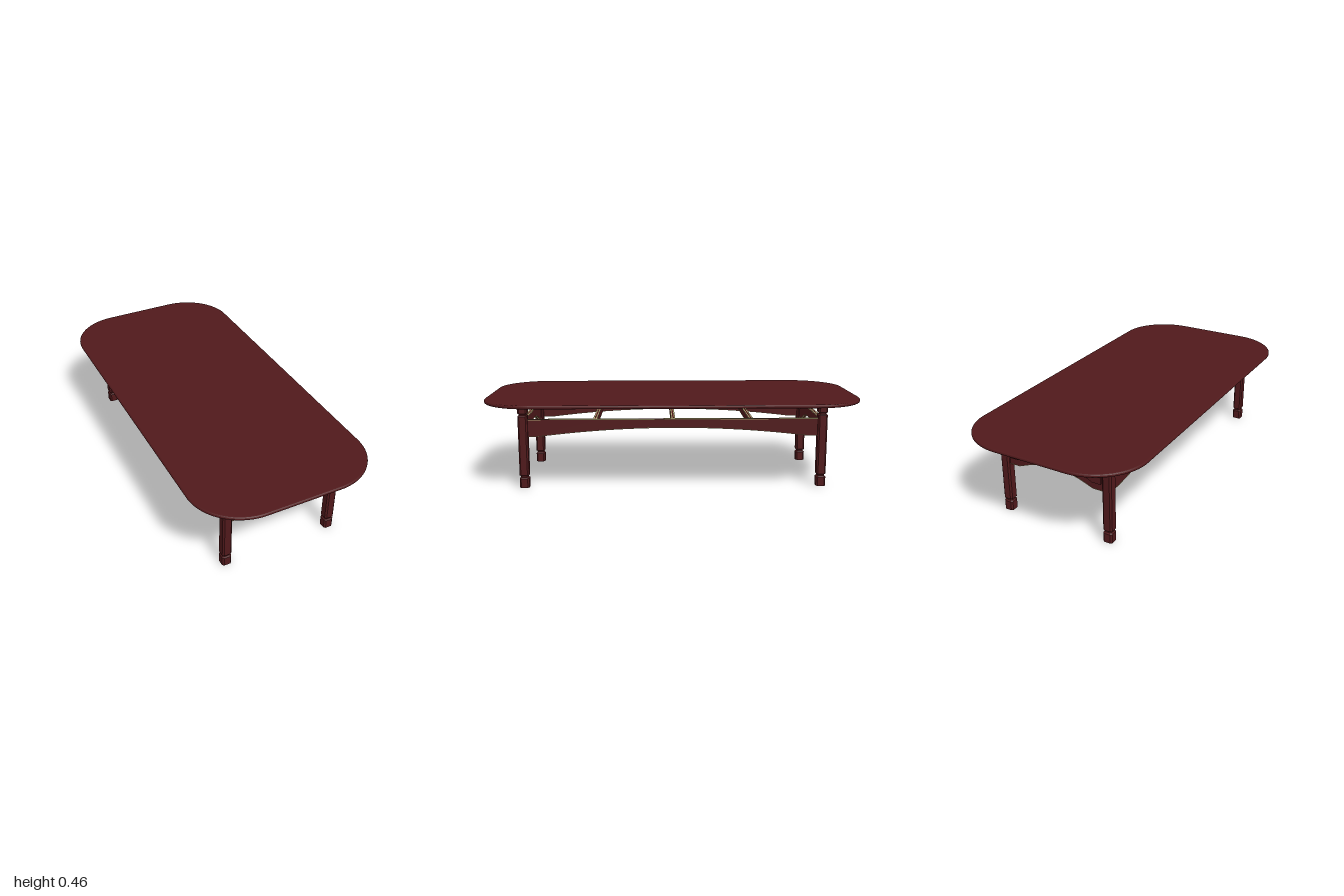
import * as THREE from 'three';

const wood = new THREE.MeshStandardMaterial({ color: 0x50191b });
wood.name = 'mahogany';
const brass = new THREE.MeshStandardMaterial({ color: 0xb0a474 });
brass.name = 'brass inlay';

const LEG_X = 0.297, LEG_Z = 0.787, LEG_HALF = 0.025;
const RAIL_TOP = 0.364, RAIL_THICK = 0.02, INLAY = 0.007;

function add(parent, geometry, material, name) {
  const mesh = new THREE.Mesh(geometry, material);
  mesh.name = name;
  parent.add(mesh);
  return mesh;
}

// Rounded slab with a softened rim
function tableTop() {
  const b = 0.008, w = 0.476 - b, l = 1 - b, rx = 0.27, rz = 0.26;
  const s = new THREE.Shape();
  s.moveTo(w, -l + rz);
  s.lineTo(w, l - rz);
  s.absellipse(w - rx, l - rz, rx, rz, 0, Math.PI / 2);
  s.absellipse(-w + rx, l - rz, rx, rz, Math.PI / 2, Math.PI);
  s.absellipse(-w + rx, -l + rz, rx, rz, Math.PI, Math.PI * 1.5);
  s.absellipse(w - rx, -l + rz, rx, rz, Math.PI * 1.5, Math.PI * 2);
  const g = new THREE.ExtrudeGeometry(s, {
    depth: 0.002, bevelEnabled: true, bevelSize: b, bevelThickness: b, bevelSegments: 4, curveSegments: 20,
  });
  g.rotateX(-Math.PI / 2);
  g.translate(0, 0.446 + b, 0);
  return g;
}

// Square leg with chamfered corners and two turned-in necks
function legGeometry() {
  const h = LEG_HALF, n = 0.018;
  const profile = [
    [0, 0], [h, 0], [h, 0.049], [0.021, 0.054], [n, 0.055], [n, 0.062], [0.021, 0.063], [h, 0.067],
    [h, 0.382], [0.021, 0.386], [n, 0.387], [n, 0.394], [0.021, 0.395], [h, 0.398], [h, 0.448], [0, 0.448],
  ].map(([r, y]) => new THREE.Vector2(r, y));
  let g = new THREE.LatheGeometry(profile, 8, Math.PI / 8);
  const p = g.attributes.position;
  const square = (v, r) => Math.sign(v) * r * (Math.abs(v) > r * 0.7 ? 1 : 0.68);
  for (let i = 0; i < p.count; i++) {
    const x = p.getX(i), z = p.getZ(i), r = Math.hypot(x, z);
    p.setX(i, square(x, r));
    p.setZ(i, square(z, r));
  }
  g = g.toNonIndexed();
  g.computeVertexNormals();
  return g;
}

// Plate between a lower and an upper edge function, centred in depth
function plate(half, low, high, depth, steps) {
  const pts = [];
  const xs = Array.from({ length: steps + 1 }, (_, i) => -half + (2 * half * i) / steps);
  for (const x of xs) pts.push(new THREE.Vector2(x, low(x)));
  for (const x of xs.reverse()) pts.push(new THREE.Vector2(x, high(x)));
  const g = new THREE.ExtrudeGeometry(new THREE.Shape(pts), { depth, bevelEnabled: false });
  g.translate(0, 0, -depth / 2);
  return g;
}

// Rail with brass strips let into its four long corners
function rail(name, half, low, steps) {
  const group = new THREE.Group();
  group.name = name;
  add(group, plate(half, low, () => RAIL_TOP, RAIL_THICK, steps), wood, name + 'Board');
  const lower = plate(half, (x) => low(x) - 0.0008, (x) => low(x) + 0.002, INLAY, steps);
  const upper = plate(half, () => RAIL_TOP - 0.003, () => RAIL_TOP + 0.0008, INLAY, 1);
  for (const side of [-1, 1]) {
    const z = side * (RAIL_THICK / 2 + 0.0008 - INLAY / 2);
    add(group, lower, brass, name + 'LowerInlay').position.z = z;
    add(group, upper, brass, name + 'UpperInlay').position.z = z;
  }
  return group;
}

const endArch = (x) => {
  const t = THREE.MathUtils.clamp((0.213 - Math.abs(x)) / 0.165, 0, 1);
  return 0.271 + 0.044 * Math.sin(t * Math.PI / 2);
};
const sideArch = (z) => Math.max(0.273, 0.318 - 0.045 * (z / 0.71) ** 2);

// Fielded panel on the outside of an end rail
function endPanel() {
  const s = new THREE.Shape();
  s.moveTo(-0.262, 0.308);
  s.lineTo(-0.215, 0.308);
  s.lineTo(-0.155, 0.337);
  s.lineTo(0.155, 0.337);
  s.lineTo(0.215, 0.308);
  s.lineTo(0.262, 0.308);
  s.lineTo(0.262, 0.353);
  s.lineTo(-0.262, 0.353);
  return new THREE.ExtrudeGeometry(s, { depth: 0.008, bevelEnabled: false });
}

export function createModel() {
  const table = new THREE.Group();
  table.name = 'table';
  add(table, tableTop(), wood, 'tableTop');

  const leg = legGeometry();
  for (const sx of [-1, 1]) {
    for (const sz of [-1, 1]) {
      add(table, leg, wood, 'leg').position.set(sx * LEG_X, 0, sz * LEG_Z);
    }
  }

  // Arched rails between the legs
  for (const s of [-1, 1]) {
    const end = rail('endRail', LEG_X - LEG_HALF + 0.003, endArch, 64);
    add(end, endPanel(), wood, 'endPanel').position.z = RAIL_THICK / 2;
    end.position.z = s * LEG_Z;
    end.rotation.y = s > 0 ? 0 : Math.PI;
    table.add(end);

    const side = rail('sideRail', LEG_Z - LEG_HALF + 0.003, sideArch, 64);
    side.position.x = s * LEG_X;
    side.rotation.y = s * Math.PI / 2;
    table.add(side);
  }

  // Cross bars joining the side rails
  for (const z of [-0.41, 0, 0.41]) {
    const bar = rail('crossBar', LEG_X - RAIL_THICK / 2, () => 0.325, 1);
    bar.position.z = z;
    table.add(bar);
  }
  return table;
}
